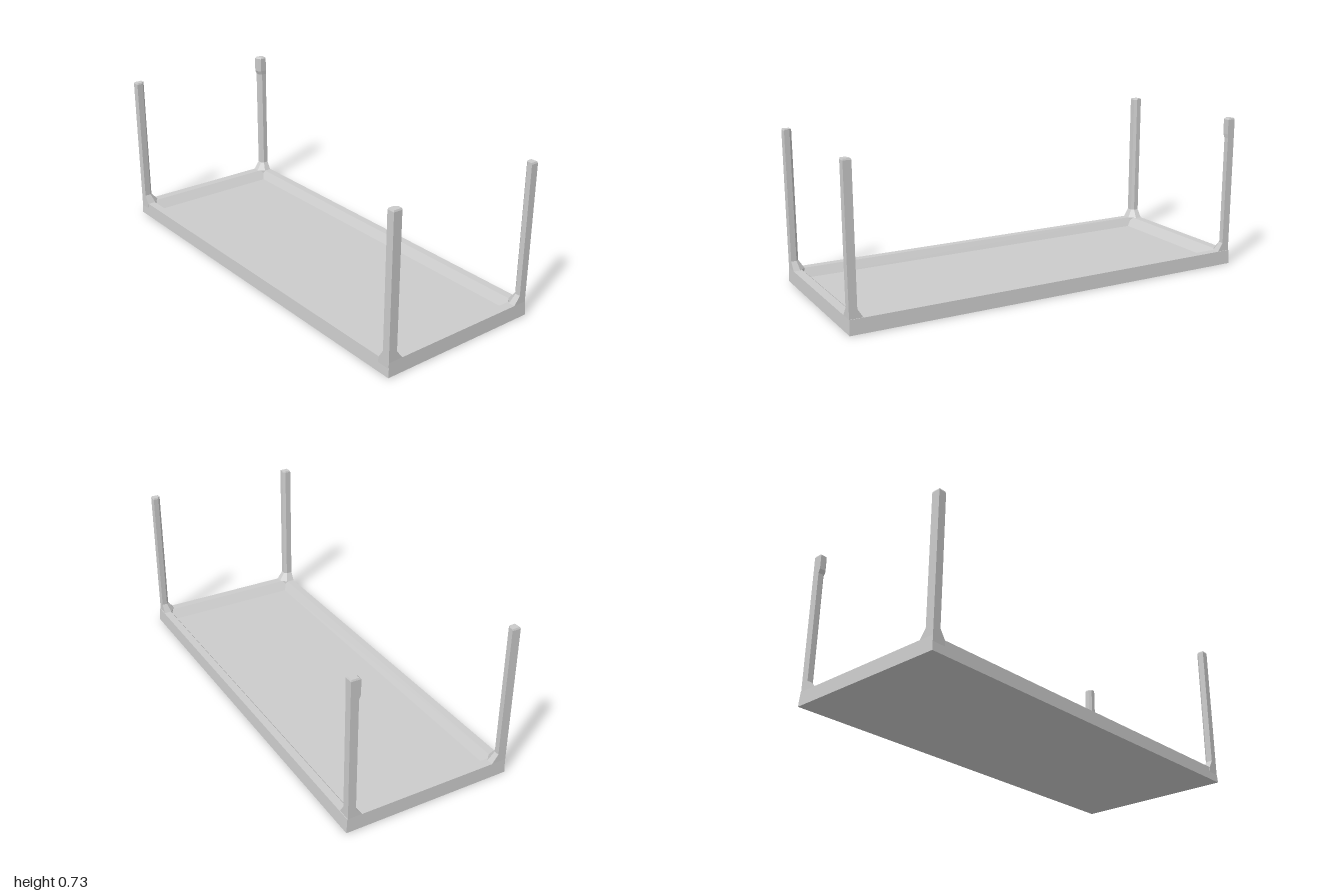
import * as THREE from 'three';

const material = new THREE.MeshStandardMaterial({ color: 0xcccccc, flatShading: true });

// Skin a closed solid over rings of [x, y, z] corners, with a cap at each end
function loft(name, rings, flip = false) {
  const pos = [];
  const tri = (a, b, c) => pos.push(...a, ...(flip ? c : b), ...(flip ? b : c));
  const n = rings[0].length;
  for (let r = 0; r < rings.length - 1; r++) {
    const lo = rings[r], up = rings[r + 1];
    for (let i = 0; i < n; i++) {
      const j = (i + 1) % n;
      tri(lo[i], lo[j], up[j]);
      tri(lo[i], up[j], up[i]);
    }
  }
  const first = rings[0], last = rings[rings.length - 1];
  for (let i = 1; i < n - 1; i++) {
    tri(first[0], first[i + 1], first[i]);
    tri(last[0], last[i], last[i + 1]);
  }
  const geometry = new THREE.BufferGeometry();
  geometry.setAttribute('position', new THREE.Float32BufferAttribute(pos, 3));
  geometry.computeVertexNormals();
  const mesh = new THREE.Mesh(geometry, material);
  mesh.name = name;
  return mesh;
}

const rectRing = (x, z, y) => [[x, y, z], [x, y, -z], [-x, y, -z], [-x, y, z]];

// Square post section with its inward corner cut off
function postRing(sx, sz, y, xi, zi, cut, xo = 0.997, zo = 0.4) {
  return [[xo, zo], [xo, zi], [xi + cut, zi], [xi, zi + cut], [xi, zo]]
    .map(([x, z]) => [sx * x, y, sz * z]);
}

export function createModel() {
  const group = new THREE.Group();
  group.name = 'trayWithPosts';

  // Shallow tray: tapered outside, flat rim, sloping inside, recessed floor
  group.add(loft('tray', [
    rectRing(1, 0.405, 0),
    rectRing(0.997, 0.4, 0.067),
    rectRing(0.955, 0.362, 0.067),
    rectRing(0.915, 0.335, 0.026),
  ]));

  // Corner posts with flared feet
  for (const sx of [-1, 1]) {
    for (const sz of [-1, 1]) {
      const name = (sz > 0 ? 'front' : 'back') + (sx > 0 ? 'Left' : 'Right') + 'Post';
      const zo = sz > 0 ? 0.402 : 0.397;
      const ring = (y, xi, zi, cut) => postRing(sx, sz, y, xi, zi, cut, 0.997, zo);
      const rings = [
        ring(0.015, 0.93, 0.33, 0.03),
        ring(0.067, 0.935, 0.33, 0.03),
        ring(0.107, 0.96, 0.36, 0.012),
      ];
      // One back post thickens toward its top
      if (sx < 0 && sz < 0) {
        rings.push(ring(0.635, 0.96, 0.36, 0.012), ring(0.655, 0.958, 0.352, 0.012),
          ring(0.725, 0.958, 0.352, 0.012));
      } else {
        rings.push(ring(0.725, 0.96, 0.36, 0.012));
      }
      rings.push(postRing(sx, sz, 0.732, 0.963, 0.36, 0.012, 0.994, zo - 0.003));
      group.add(loft(name, rings, sx * sz < 0));
    }
  }
  return group;
}
